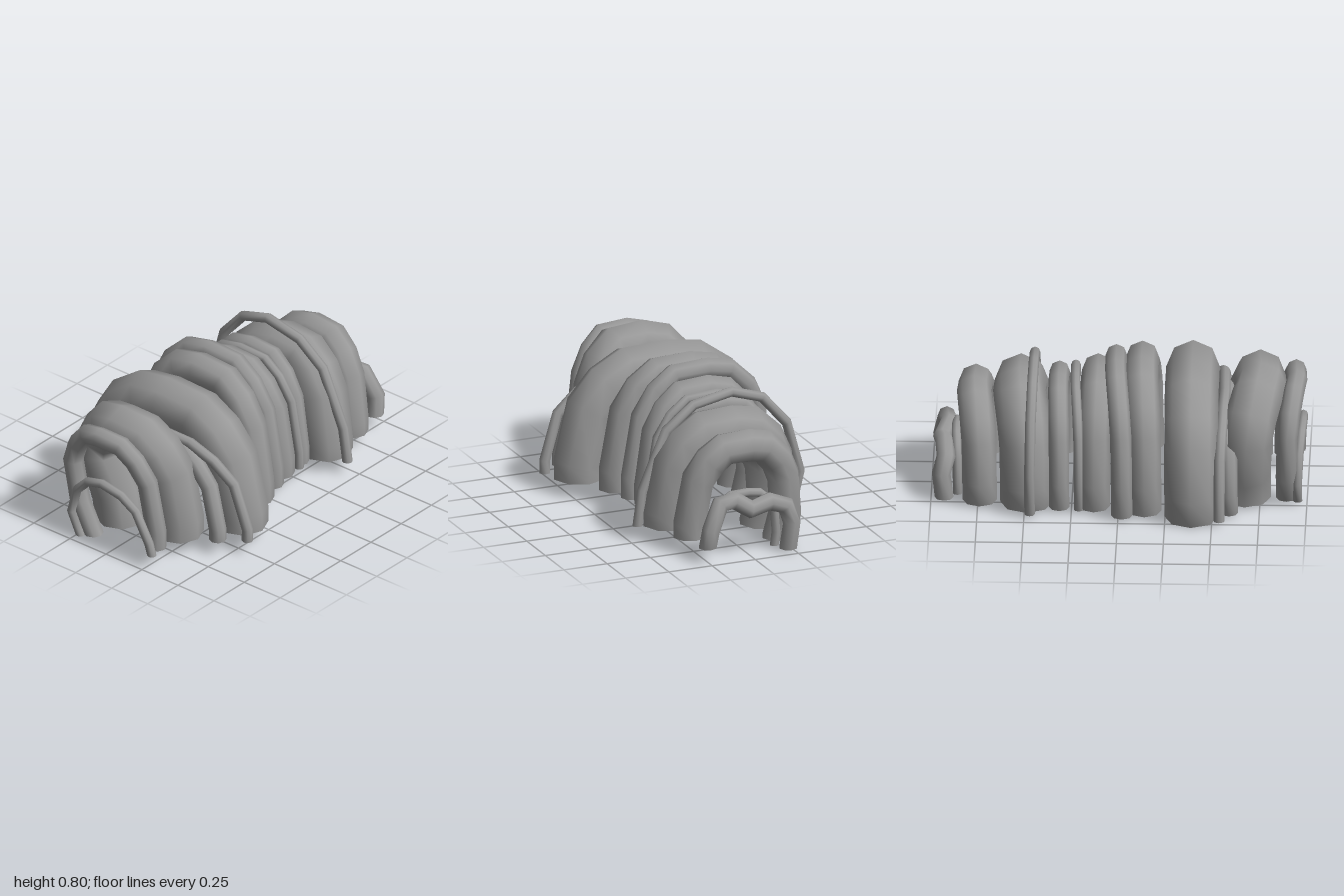
import * as THREE from 'three';

const material = new THREE.MeshStandardMaterial({ color: 0x989898, side: THREE.DoubleSide });
const SIDES = 8;

// Arch profiles: u runs 1 (front leg) to -1 (back leg), v is height fraction
const FULL = [
  [1, 0.26], [0.85, 0.7], [0.62, 0.88], [0.34, 0.99], [-0.15, 1],
  [-0.48, 0.97], [-0.78, 0.82], [-0.94, 0.64], [-1, 0.27],
];
const SLACK = [[0.94, 0.36], [0.64, 0.78], [0.3, 0.94], [-0.17, 1], [-0.54, 0.93], [-0.84, 0.72], [-1, 0.35]];

// Open tube through a coarse path, cut level at both feet
function tube(points, radius) {
  const pos = [], index = [];
  const last = points.length - 1;
  points.forEach((p, i) => {
    const tangent = new THREE.Vector3(0, i === 0 ? 1 : -1, 0);
    if (i > 0 && i < last) {
      const dirIn = p.clone().sub(points[i - 1]).normalize();
      tangent.copy(points[i + 1]).sub(p).normalize().add(dirIn).normalize();
    }
    const n = new THREE.Vector3(1, 0, 0);
    n.addScaledVector(tangent, -n.dot(tangent)).normalize();
    const b = new THREE.Vector3().crossVectors(tangent, n);
    for (let k = 0; k < SIDES; k++) {
      const a = (k / SIDES) * Math.PI * 2;
      const q = p.clone().addScaledVector(n, Math.cos(a) * radius).addScaledVector(b, Math.sin(a) * radius);
      pos.push(q.x, q.y, q.z);
      if (i === last) continue;
      const c = i * SIDES + k, d = i * SIDES + ((k + 1) % SIDES);
      index.push(c, d, c + SIDES, d, d + SIDES, c + SIDES);
    }
  });
  const g = new THREE.BufferGeometry();
  g.setAttribute('position', new THREE.Float32BufferAttribute(pos, 3));
  g.setIndex(index);
  g.computeVertexNormals();
  return g;
}

// Path of one arch: x bends from front through middle to back;
// knee and tuck pull the back leg inwards
function archPath({ x: [xf, xm, xb], r, z: [zf, zb], top, profile = FULL, tuck = 0.04, knee = 0, foot = 0.015 }) {
  const mid = (zf + zb) / 2, half = (zf - zb) / 2;
  const path = profile.map(([u, v]) =>
    new THREE.Vector3(xm + ((u > 0 ? xf : xb) - xm) * u * u, (top - r) * v, mid + half * u));
  path[path.length - 1].z += knee;
  return [new THREE.Vector3(xf, 0.08, zf), ...path, new THREE.Vector3(xb, foot, zb + tuck)];
}

// x: front, middle, back; z: front and back leg centres
const ARCHES = [
  { name: 'leftThinArch', x: [-0.955, -0.975, -0.95], r: 0.025, z: [0.28, -0.28], top: 0.43, profile: SLACK, tuck: 0.06 },
  { name: 'leftSlimArch', x: [-0.87, -0.945, -0.89], r: 0.055, z: [0.24, -0.33], top: 0.72, tuck: 0.15, knee: 0.06 },
  { name: 'leftThickArch', x: [-0.67, -0.755, -0.67], r: 0.137, z: [0.225, -0.32], top: 0.77, tuck: 0.145, knee: 0.12 },
  { name: 'tallSlimArch', x: [-0.6, -0.565, -0.59], r: 0.047, z: [0.44, -0.42], top: 0.58 },
  { name: 'wideThinArch', x: [-0.51, -0.56, -0.54], r: 0.03, z: [0.57, -0.515], top: 0.6, tuck: 0, foot: 0.03 },
  { name: 'largestArch', x: [-0.385, -0.385, -0.39], r: 0.143, z: [0.425, -0.457], top: 0.78, tuck: 0.055, foot: 0 },
  { name: 'centreArch', x: [-0.135, -0.115, -0.14], r: 0.09, z: [0.325, -0.4], top: 0.8 },
  { name: 'centreSlimArch', x: [0.025, 0.02, -0.02], r: 0.057, z: [0.3, -0.465], top: 0.8 },
  { name: 'centreRightArch', x: [0.14, 0.115, 0.13], r: 0.085, z: [0.245, -0.35], top: 0.74 },
  { name: 'centreThinArch', x: [0.245, 0.235, 0.21], r: 0.026, z: [0.295, -0.4], top: 0.7 },
  { name: 'rightSlimArch', x: [0.3, 0.325, 0.315], r: 0.054, z: [0.25, -0.37], top: 0.7 },
  { name: 'rightThickArch', x: [0.485, 0.535, 0.49], r: 0.14, z: [0.285, -0.31], top: 0.71 },
  { name: 'rightThinArch', x: [0.46, 0.455, 0.47], r: 0.028, z: [0.45, -0.485], top: 0.785, profile: SLACK, tuck: 0.06 },
  { name: 'rightArch', x: [0.72, 0.775, 0.74], r: 0.092, z: [0.26, -0.285], top: 0.655 },
  { name: 'lowThinArch', x: [0.845, 0.87, 0.86], r: 0.025, z: [0.21, -0.18], top: 0.36, tuck: 0.01 },
];

// Low end arch with a sagging middle
const SAGGING = [
  [0.93, 0.08, 0.245], [0.95, 0.18, 0.235], [0.925, 0.31, 0.17], [0.91, 0.315, 0.08],
  [0.945, 0.265, 0], [0.93, 0.29, -0.11], [0.92, 0.25, -0.21], [0.945, 0.16, -0.235], [0.93, 0.015, -0.22],
];

export function createModel() {
  const group = new THREE.Group();
  group.name = 'archRow';
  const add = (name, path, r) => {
    const mesh = new THREE.Mesh(tube(path, r), material);
    mesh.name = name;
    group.add(mesh);
  };
  ARCHES.forEach((arch) => add(arch.name, archPath(arch), arch.r));
  add('saggingEndArch', SAGGING.map((p) => new THREE.Vector3(...p)), 0.05);
  return group;
}
